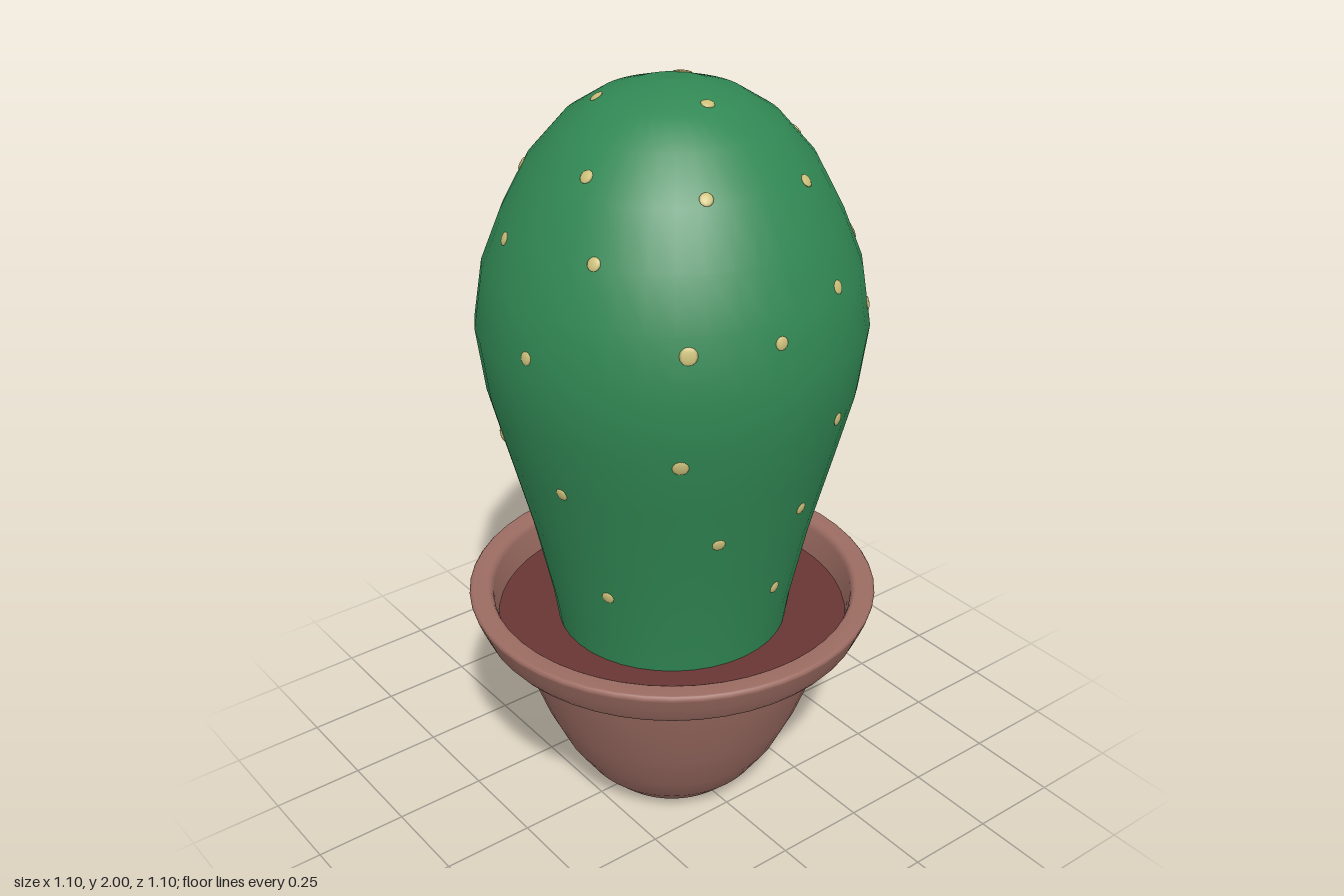
import * as THREE from 'three';

const material = (name, color) => {
  const m = new THREE.MeshStandardMaterial({ color });
  m.name = name;
  return m;
};

// Cactus outline as [radius, height], from the soil to the crown
const BODY = [
  [0.305, 0.5], [0.323, 0.62], [0.37, 0.84], [0.43, 1.07], [0.472, 1.235], [0.493, 1.4],
  [0.468, 1.555], [0.418, 1.68], [0.35, 1.81], [0.262, 1.91], [0.175, 1.965], [0.09, 1.992], [0, 2],
];

// Pot outline: base, curved wall, rim lip and inner wall
const POT = [
  [0, 0], [0.15, 0], [0.165, 0.002], [0.2, 0.014], [0.25, 0.065], [0.307, 0.15], [0.36, 0.265],
  [0.405, 0.39], [0.428, 0.46], [0.438, 0.5], [0.446, 0.51], [0.454, 0.513], [0.49, 0.515],
  [0.506, 0.521], [0.517, 0.535], [0.532, 0.57], [0.546, 0.606], [0.548, 0.614], [0.543, 0.62],
  [0.538, 0.621], [0.498, 0.621], [0.49, 0.617], [0.484, 0.605], [0.474, 0.54], [0.47, 0.5],
];

// Spots as [sideways offset, height, size], grouped by the facing angle in degrees
const SPOTS = {
  0: [
    [-0.23, 1.79], [0.08, 1.85], [-0.115, 1.665], [0.19, 1.69], [-0.355, 1.53], [0.07, 1.445],
    [-0.29, 1.3], [-0.16, 1.125], [0.105, 1.075], [-0.235, 0.765], [0.15, 0.76], [-0.365, 1.01],
  ],
  90: [
    [-0.14, 1.825], [0.145, 1.81], [-0.26, 1.51, 1.3], [-0.05, 1.51], [0.155, 1.58], [0.39, 1.6, 1.25],
    [0.34, 1.46], [-0.27, 1.22, 1.2], [0.165, 1.235], [0.365, 1.215, 1.3], [-0.145, 0.96],
    [0.1, 0.985], [0.32, 0.965, 1.1], [0.07, 0.735],
  ],
  215: [
    [-0.139, 1.77], [-0.016, 1.665, 1.3], [0.203, 1.69], [-0.267, 1.545], [-0.353, 1.25],
    [-0.171, 1.29], [-0.043, 1.35, 1.25], [0.193, 1.415], [-0.219, 1.045], [0.096, 1.06],
    [-0.118, 0.89], [0.193, 0.88], [-0.257, 0.73], [0.037, 0.78],
  ],
  270: [[0.05, 1.42], [-0.01, 1.74], [-0.09, 1.2], [0.06, 1.0], [-0.05, 0.8]],
};

// Crown spots as [x, z, size]
const CROWN_SPOTS = [
  [-0.062, -0.08, 1.35], [0.105, -0.3], [-0.26, -0.12], [0.14, 0.005], [-0.31, 0.11], [-0.095, 0.15],
];

const toVectors = (list) => list.map(([r, y]) => new THREE.Vector2(r, y));

// Radius, height and outward slope where the outline passes a height or a radius
function onBody(value, byRadius) {
  const key = byRadius ? 0 : 1;
  for (let i = BODY.length - 2; i >= 0; i--) {
    const a = BODY[i], b = BODY[i + 1];
    const t = (value - a[key]) / (b[key] - a[key]);
    if (t < 0 || t > 1) continue;
    return {
      r: a[0] + (b[0] - a[0]) * t,
      y: a[1] + (b[1] - a[1]) * t,
      normal: new THREE.Vector2(b[1] - a[1], a[0] - b[0]).normalize(),
    };
  }
}

export function createModel() {
  const group = new THREE.Group();
  group.name = 'pottedCactus';
  const green = material('cactus green', 0x318854);
  const clay = material('clay', 0x9c6c62);
  const earth = material('soil brown', 0x693635);
  const yellow = material('spot yellow', 0xcdc07a);

  const add = (name, geometry, mat) => {
    const mesh = new THREE.Mesh(geometry, mat);
    mesh.name = name;
    group.add(mesh);
    return mesh;
  };

  add('pot', new THREE.LatheGeometry(toVectors(POT), 48), clay);
  add('cactusBody', new THREE.LatheGeometry(toVectors(BODY), 40), green);

  // Soil disc inside the rim
  const soil = add('soil', new THREE.CircleGeometry(0.476, 48), earth);
  soil.rotation.x = -Math.PI / 2;
  soil.position.y = 0.53;

  // Flattened spots lying on the skin
  const spotGeometry = new THREE.SphereGeometry(0.017, 8, 6);
  const addSpot = (angle, place, size = 1) => {
    const spot = add('spot', spotGeometry, yellow);
    const s = Math.sin(angle), c = Math.cos(angle);
    const normal = new THREE.Vector3(place.normal.x * s, place.normal.y, place.normal.x * c);
    spot.position.set(place.r * s, place.y, place.r * c);
    spot.quaternion.setFromUnitVectors(new THREE.Vector3(0, 0, 1), normal);
    spot.scale.set(size, size, 0.28);
  };
  for (const [facing, list] of Object.entries(SPOTS)) {
    for (const [offset, y, size] of list) {
      const place = onBody(y, false);
      const turn = Math.asin(THREE.MathUtils.clamp(offset / place.r, -1, 1));
      addSpot(THREE.MathUtils.degToRad(Number(facing)) + turn, place, size);
    }
  }
  for (const [x, z, size] of CROWN_SPOTS) {
    addSpot(Math.atan2(x, z), onBody(Math.hypot(x, z), true), size);
  }
  return group;
}
